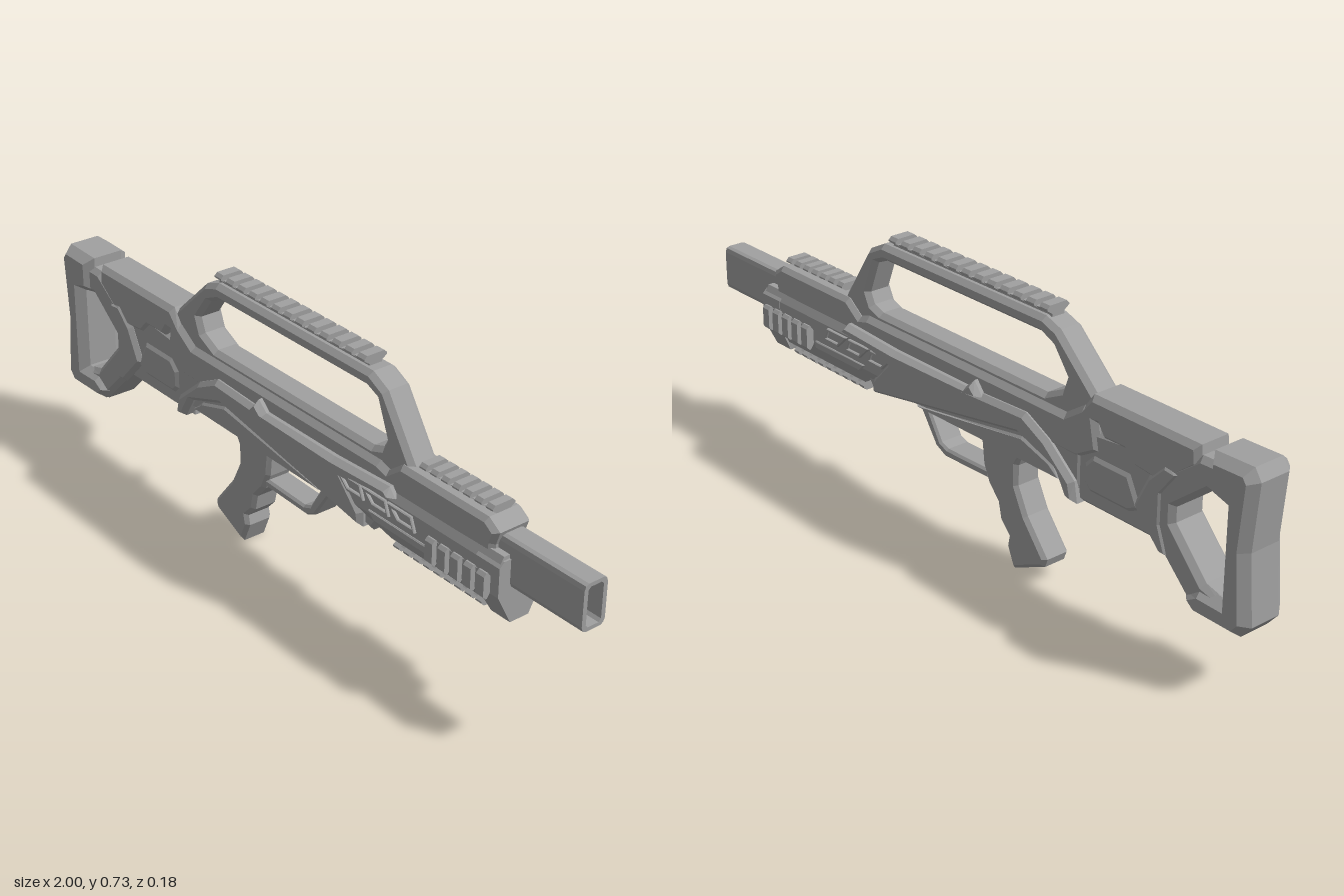
import * as THREE from 'three';

export function createModel() {
  const model = new THREE.Group();
  const grey = new THREE.MeshStandardMaterial({ color: 0xa0a0a0 });
  grey.name = 'grey';

  const add = (geometry, name, parent = model) => {
    const mesh = new THREE.Mesh(geometry, grey);
    mesh.name = name;
    parent.add(mesh);
    return mesh;
  };
  const toShape = (pts) => new THREE.Shape(pts.map(([x, y]) => new THREE.Vector2(x, y)));

  // Side outline extruded symmetrically across z, with chamfered edges inside the outline
  function slab(name, pts, half, bevel = 0.01, thick = bevel, hole = null, zMid = 0) {
    const shape = toShape(pts);
    if (hole) shape.holes.push(toShape(hole));
    const geo = new THREE.ExtrudeGeometry(shape, {
      depth: 2 * (half - thick), bevelEnabled: bevel > 0, bevelSize: bevel,
      bevelOffset: -bevel, bevelThickness: thick, bevelSegments: 1,
    });
    geo.translate(0, 0, zMid - half + thick);
    return add(geo, name);
  }

  // Mirrored [z, y] half section (bottom to top) extruded along x; slant moves the rear end
  function bar(name, halfPts, x0, x1, parent = model, slant = null, hole = null) {
    const pts = [...halfPts, ...halfPts.slice().reverse().map(([z, y]) => [-z, y])];
    const shape = toShape(pts);
    if (hole) shape.holes.push(toShape([...hole, ...hole.slice().reverse().map(([z, y]) => [-z, y])]));
    const geo = new THREE.ExtrudeGeometry(shape, { depth: x1 - x0, bevelEnabled: false });
    geo.rotateY(Math.PI / 2).translate(x0, 0, 0);
    if (slant) {
      const p = geo.attributes.position;
      for (let i = 0; i < p.count; i++) {
        if (p.getX(i) < x0 + 1e-4) p.setX(i, x0 + slant(p.getY(i)));
      }
      geo.computeVertexNormals();
    }
    return add(geo, name, parent);
  }

  // Toothed accessory rail, rising along +y before it is turned
  function rail(name, x0, x1, teeth, y, z = 0, turn = 0) {
    const group = new THREE.Group();
    group.name = name;
    bar('railBase', [[0.02, -0.012], [0.018, 0.003], [0.027, 0.012]], x0, x1, group);
    const pitch = (x1 - x0) / (teeth - 0.4);
    for (let i = 0; i < teeth; i++) {
      const x = x0 + i * pitch;
      bar('railTooth', [[0.018, 0.003], [0.034, 0.014], [0.034, 0.018], [0.026, 0.026]], x, x + pitch * 0.6, group);
    }
    group.position.set(0, y, z);
    group.rotation.x = turn;
    model.add(group);
  }

  // Carry handle and upper receiver
  slab('carryHandle', [
    [-0.53, 0.46], [-0.45, 0.42], [0.42, 0.42], [0.45, 0.52], [0.345, 0.68], [0.29, 0.708],
    [-0.31, 0.708], [-0.36, 0.69], [-0.5, 0.56],
  ], 0.041, 0.012, 0.014, [
    [-0.39, 0.585], [-0.345, 0.645], [-0.3, 0.665], [0.28, 0.665], [0.315, 0.65],
    [0.35, 0.56], [0.335, 0.53], [0.3, 0.518], [-0.32, 0.518], [-0.375, 0.545],
  ]);
  rail('handleRail', -0.32, 0.265, 13, 0.709);

  // Receiver shoulder, core and sweeping side cover
  slab('receiverShoulder', [
    [-0.52, 0.44], [-0.45, 0.40], [0.42, 0.40], [0.44, 0.47], [0.34, 0.5],
    [-0.4, 0.5], [-0.46, 0.54], [-0.5, 0.54],
  ], 0.055, 0.014);
  slab('receiverCore', [
    [-0.46, 0.32], [0.24, 0.32], [0.32, 0.3], [0.42, 0.45], [-0.46, 0.45],
  ], 0.052, 0.01);
  slab('sideCover', [
    [-0.46, 0.29], [-0.425, 0.295], [-0.39, 0.355], [-0.26, 0.4], [0.3, 0.305], [0.3, 0.345],
    [0.22, 0.43], [-0.06, 0.45], [-0.28, 0.46], [-0.36, 0.42], [-0.45, 0.345],
  ], 0.073, 0.012, 0.014);
  slab('lowerSidePanel', [
    [-0.4, 0.325], [0.14, 0.325], [-0.26, 0.39], [-0.36, 0.36],
  ], 0.058, 0.008);
  slab('upperSideCover', [
    [-0.13, 0.445], [0.2, 0.405], [0.28, 0.425], [0.42, 0.44], [0.4, 0.465],
    [0.2, 0.455], [-0.07, 0.455], [-0.1, 0.482],
  ], 0.083, 0.01, 0.018);

  // Stock: upper spine, lower body, raised panel and collar
  slab('stockSpine', [
    [-0.83, 0.525], [-0.72, 0.44], [-0.63, 0.45], [-0.6, 0.48], [-0.53, 0.48],
    [-0.51, 0.51], [-0.44, 0.51], [-0.49, 0.578], [-0.825, 0.578],
  ], 0.055, 0.014);
  slab('stockBody', [
    [-0.74, 0.31], [-0.71, 0.29], [-0.42, 0.29], [-0.42, 0.48], [-0.6, 0.5], [-0.72, 0.5],
  ], 0.047, 0.012);
  slab('stockPanel', [
    [-0.66, 0.35], [-0.62, 0.33], [-0.49, 0.33], [-0.47, 0.35], [-0.47, 0.4], [-0.5, 0.43], [-0.62, 0.43],
  ], 0.054, 0.012, 0.009);
  slab('stockCollar', [
    [-0.755, 0.27], [-0.72, 0.27], [-0.635, 0.36], [-0.68, 0.45], [-0.73, 0.5], [-0.78, 0.49],
    [-0.73, 0.42], [-0.73, 0.345],
  ], 0.06, 0.012);

  // Open stock frame and thick butt pad
  slab('stockFrame', [
    [-0.98, 0.2], [-0.83, 0.17], [-0.71, 0.29], [-0.69, 0.36], [-0.7, 0.46],
    [-0.83, 0.555], [-0.98, 0.56],
  ], 0.055, 0.014, 0.014, [
    [-0.915, 0.235], [-0.86, 0.25], [-0.76, 0.36], [-0.76, 0.4], [-0.86, 0.48], [-0.915, 0.47],
  ]);
  slab('buttPad', [
    [-1, 0.2], [-0.97, 0.165], [-0.84, 0.167], [-0.8, 0.205], [-0.85, 0.24], [-0.915, 0.238],
    [-0.915, 0.47], [-0.865, 0.485], [-0.865, 0.582], [-0.98, 0.585], [-1, 0.555], [-0.985, 0.38],
  ], 0.069, 0.02, 0.026);

  // Forend: lower handguard with slanted rear, nose block and upper cover
  bar('handguard', [[0.034, 0.3], [0.067, 0.36], [0.067, 0.43], [0.052, 0.455]], 0.17, 0.772, model,
    (y) => Math.max(0, (0.42 - y) * 1.7));
  bar('handguardNose', [[0.028, 0.275], [0.069, 0.355], [0.069, 0.432], [0.055, 0.445]], 0.7, 0.777, model,
    (y) => Math.max(0, (0.3 - y) * 0.6));
  slab('forendCover', [
    [0.28, 0.44], [0.735, 0.44], [0.735, 0.465], [0.747, 0.5], [0.71, 0.525], [0.42, 0.525], [0.36, 0.48],
  ], 0.055, 0.012);
  rail('forendTopRail', 0.465, 0.71, 7, 0.52);
  rail('forendBottomRail', 0.38, 0.69, 9, 0.299, 0, Math.PI);

  // Side rails and slanted vent frames on both sides
  for (const side of [1, -1]) {
    rail('forendSideRail', 0.552, 0.75, 5, 0.378, side * 0.063, side * Math.PI / 2);
    for (let i = 0; i < 3; i++) {
      const x = 0.215 + i * 0.092;
      const y = 0.388;
      slab('ventFrame', [[x + 0.04, y], [x + 0.1, y], [x + 0.085, y + 0.038], [x, y + 0.038]],
        0.006, 0.002, 0.003,
        [[x + 0.041, y + 0.009], [x + 0.09, y + 0.009], [x + 0.08, y + 0.029], [x + 0.02, y + 0.029]],
        side * 0.069);
    }
    // Lower edge strip of the handguard
    slab('handguardStrip', [
      [0.35, 0.35], [0.54, 0.35], [0.54, 0.372], [0.33, 0.372],
    ], 0.005, 0.003, 0.003, null, side * 0.067);
  }

  // Hollow flat-sided barrel with an inner back wall
  bar('barrel', [[0.022, 0.367], [0.031, 0.372], [0.035, 0.383], [0.035, 0.476], [0.031, 0.487], [0.022, 0.491]],
    0.72, 1, model, null,
    [[0.016, 0.377], [0.023, 0.384], [0.023, 0.474], [0.016, 0.481]]);
  bar('barrelBackWall', [[0.028, 0.375], [0.028, 0.483]], 0.72, 0.8);

  // Pistol grip
  slab('grip', [
    [-0.25, 0.34], [-0.225, 0.29], [-0.225, 0.235], [-0.26, 0.165], [-0.333, 0.075], [-0.325, 0.052],
    [-0.215, 0.002], [-0.19, 0.06], [-0.196, 0.088], [-0.165, 0.12], [-0.155, 0.165],
    [-0.12, 0.205], [-0.1, 0.25], [-0.09, 0.34],
  ], 0.041, 0.01);

  // Trigger guard
  slab('triggerGuard', [
    [-0.12, 0.212], [0.05, 0.208], [0.085, 0.225], [0.155, 0.33], [0.12, 0.33],
    [0.066, 0.242], [0.04, 0.232], [-0.12, 0.236],
  ], 0.036, 0.006);

  return model;
}
